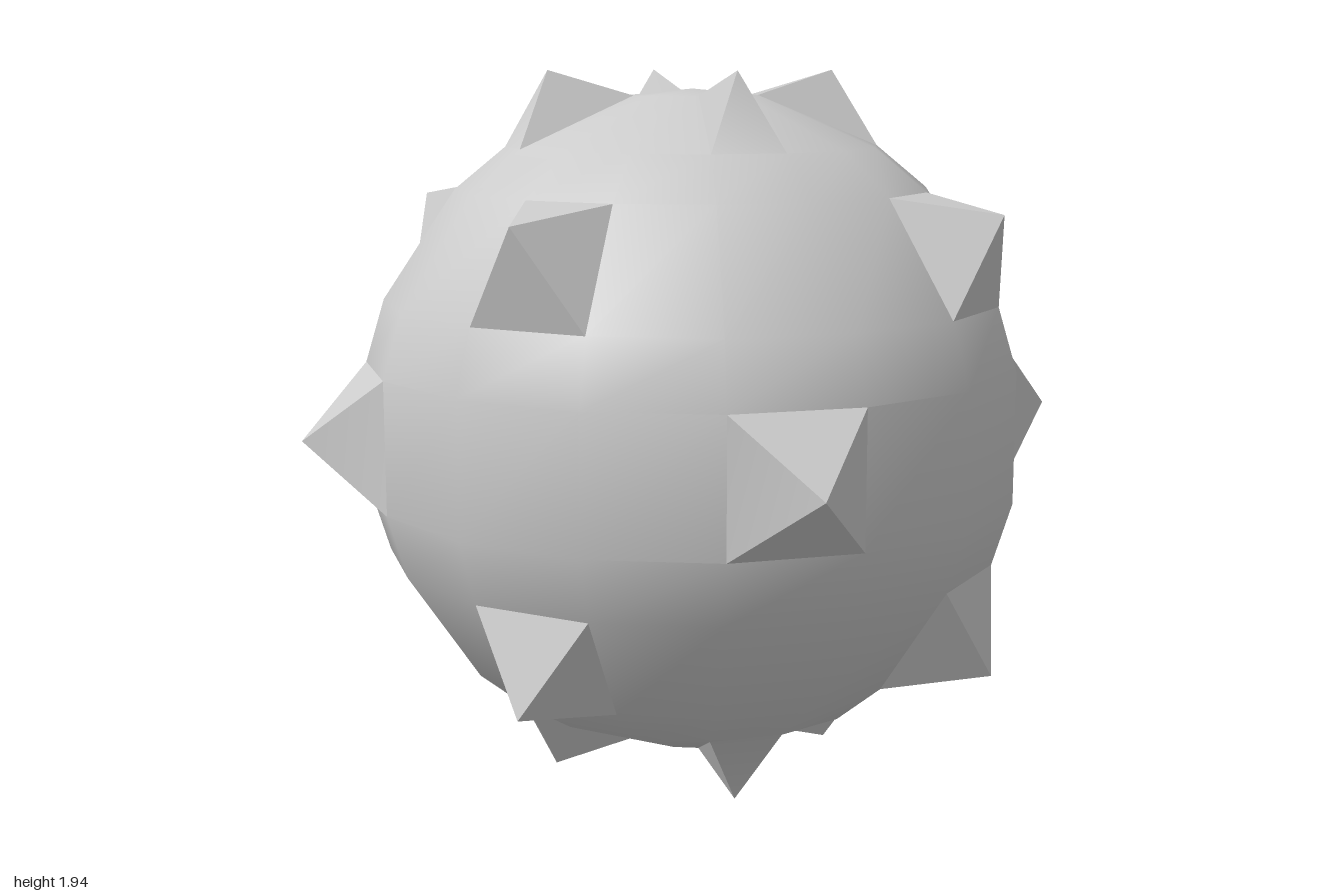
import * as THREE from 'three';
import { toCreasedNormals } from 'three/addons/utils/BufferGeometryUtils.js';

const RADIUS = 0.92, CENTRE_Y = 0.97, SEGMENTS = 16;
const STEP = (Math.PI * 2) / SEGMENTS;

// Latitudes of the rings: wide spiked bands alternate with narrow plain ones
const UPPER = [11.25, 22.5, 45, 56.25, 78.75, 90];
const LATITUDES = [...UPPER.map((a) => -a).reverse(), ...UPPER];

// Spiked bands: lower ring index, tip distance from the axis, tip height, first segment
const SPIKES = [
  { band: 1, r: 0.403, y: -0.97, start: 1 },
  { band: 3, r: 0.901, y: -0.609, start: 3 },
  { band: 5, r: 1.082, y: 0, start: 1 },
  { band: 7, r: 0.901, y: 0.609, start: 3 },
  { band: 9, r: 0.403, y: 0.97, start: 1 },
];

// Point at a distance from the vertical axis, a height and a turn in segments
const polar = (r, y, turn) => {
  const a = (turn - 0.5) * STEP;
  return new THREE.Vector3(r * Math.sin(a), CENTRE_Y + y, r * Math.cos(a));
};

const onBall = (ring, turn) => {
  const lat = THREE.MathUtils.degToRad(LATITUDES[ring]);
  return polar(RADIUS * Math.cos(lat), RADIUS * Math.sin(lat), turn);
};

function spikedBallGeometry() {
  const points = [];
  const last = LATITUDES.length - 2;
  for (let band = 0; band <= last; band++) {
    const spike = SPIKES.find((s) => s.band === band);
    for (let i = 0; i < SEGMENTS; i++) {
      const a = onBall(band, i), b = onBall(band, i + 1);
      const c = onBall(band + 1, i + 1), d = onBall(band + 1, i);
      if (band === 0) points.push(a, c, d); // bottom cap
      else if (band === last) points.push(a, b, c); // top cap
      else if (spike && i % 4 === spike.start) {
        // four-sided spike raised from this panel
        const tip = polar(spike.r, spike.y, i + 0.5);
        points.push(a, b, tip, b, c, tip, c, d, tip, d, a, tip);
      } else points.push(a, b, c, a, c, d);
    }
  }
  const geometry = new THREE.BufferGeometry().setFromPoints(points);
  return toCreasedNormals(geometry, Math.PI / 6);
}

export function createModel() {
  const group = new THREE.Group();
  group.name = 'spikedBall';
  const material = new THREE.MeshStandardMaterial({ color: 0xcccccc });
  const ball = new THREE.Mesh(spikedBallGeometry(), material);
  ball.name = 'ballWithSpikes';
  group.add(ball);
  return group;
}
